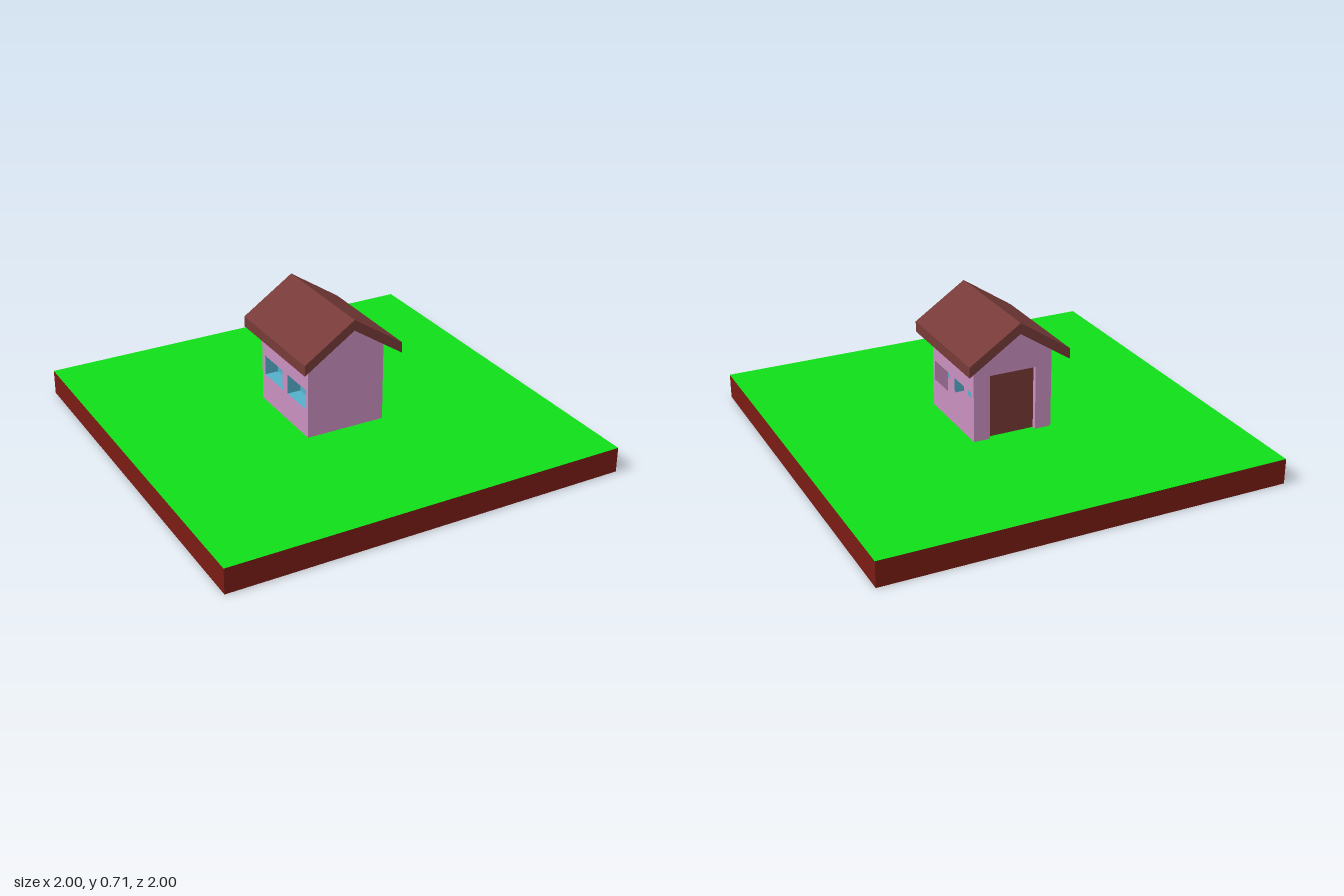
import * as THREE from 'three';

const mat = (color) => new THREE.MeshStandardMaterial({ color });
const points = (list) => list.map(([x, y]) => new THREE.Vector2(x, y));
const rect = (x0, x1, y0, y1) => points([[x0, y0], [x1, y0], [x1, y1], [x0, y1]]);

export function createModel() {
  const model = new THREE.Group();
  const earth = mat(0x7a1c14), grass = mat(0x0fde19), wall = mat(0xc990c0);
  const glass = mat(0x54aeca), roofRed = mat(0x773b38), doorBrown = mat(0x773834);

  const add = (name, geometry, material, x = 0, y = 0, z = 0, parent = model) => {
    const mesh = new THREE.Mesh(geometry, material);
    mesh.name = name;
    mesh.position.set(x, y, z);
    parent.add(mesh);
    return mesh;
  };
  const extrude = (shape, depth) => new THREE.ExtrudeGeometry(shape, { depth, bevelEnabled: false });

  const ground = 0.125, apex = 0.66, slope = 0.667;
  const half = 0.2, front = 0.23, back = -0.23;
  const coreHalf = 0.13, frontInner = 0.215, backInner = -0.205;
  const eave = (x) => apex - slope * x;

  // Slab of earth with grass on its top face
  add('ground', new THREE.BoxGeometry(2, ground, 2), [earth, earth, grass, earth, earth, earth], 0, ground / 2, 0);

  // Gabled outline, optionally with a doorway cut up from the floor
  const gable = (w, door) => new THREE.Shape(points([
    [-w, ground],
    ...(door ? [[-door.w, ground], [-door.w, door.top], [door.w, door.top], [door.w, ground]] : []),
    [w, ground], [w, eave(w)], [0, apex], [-w, eave(w)],
  ]));
  const doorway = { w: 0.118, top: 0.445 };
  add('frontWall', extrude(gable(half), front - frontInner), wall, 0, 0, frontInner);
  add('backWall', extrude(gable(half, doorway), backInner - back), wall, 0, 0, back);
  add('houseCore', extrude(gable(coreHalf), frontInner - backInner), wall, 0, 0, backInner);
  add('door', new THREE.BoxGeometry(doorway.w * 2, doorway.top - ground, 0.004),
    doorBrown, 0, (doorway.top + ground) / 2, backInner);

  // Side walls with two deep-set windows each
  const windows = [[0.03, 0.21], [-0.2, -0.02]];
  const sill = 0.265, head = 0.365;
  for (const s of [1, -1]) {
    const name = s > 0 ? 'left' : 'right';
    const shape = new THREE.Shape(rect(-s * backInner, -s * frontInner, ground, eave(half)));
    for (const [z0, z1] of windows) {
      shape.holes.push(new THREE.Path(rect(-s * z0, -s * z1, sill, head)));
      add(name + 'WindowPane', new THREE.BoxGeometry(0.004, head - sill, z1 - z0),
        glass, s * coreHalf, (sill + head) / 2, (z0 + z1) / 2);
    }
    const side = add(name + 'Wall', extrude(shape, half - coreHalf), [wall, glass], s * coreHalf, 0, 0);
    side.rotation.y = s * Math.PI / 2;
  }

  // Overhanging chevron roof
  const w = 0.255, thick = 0.053;
  const chevron = new THREE.Shape(points([
    [-w, eave(w)], [0, apex], [w, eave(w)],
    [w, eave(w) + thick], [0, apex + thick], [-w, eave(w) + thick],
  ]));
  add('roof', extrude(chevron, 0.61), roofRed, 0, 0, -0.305);

  return model;
}
